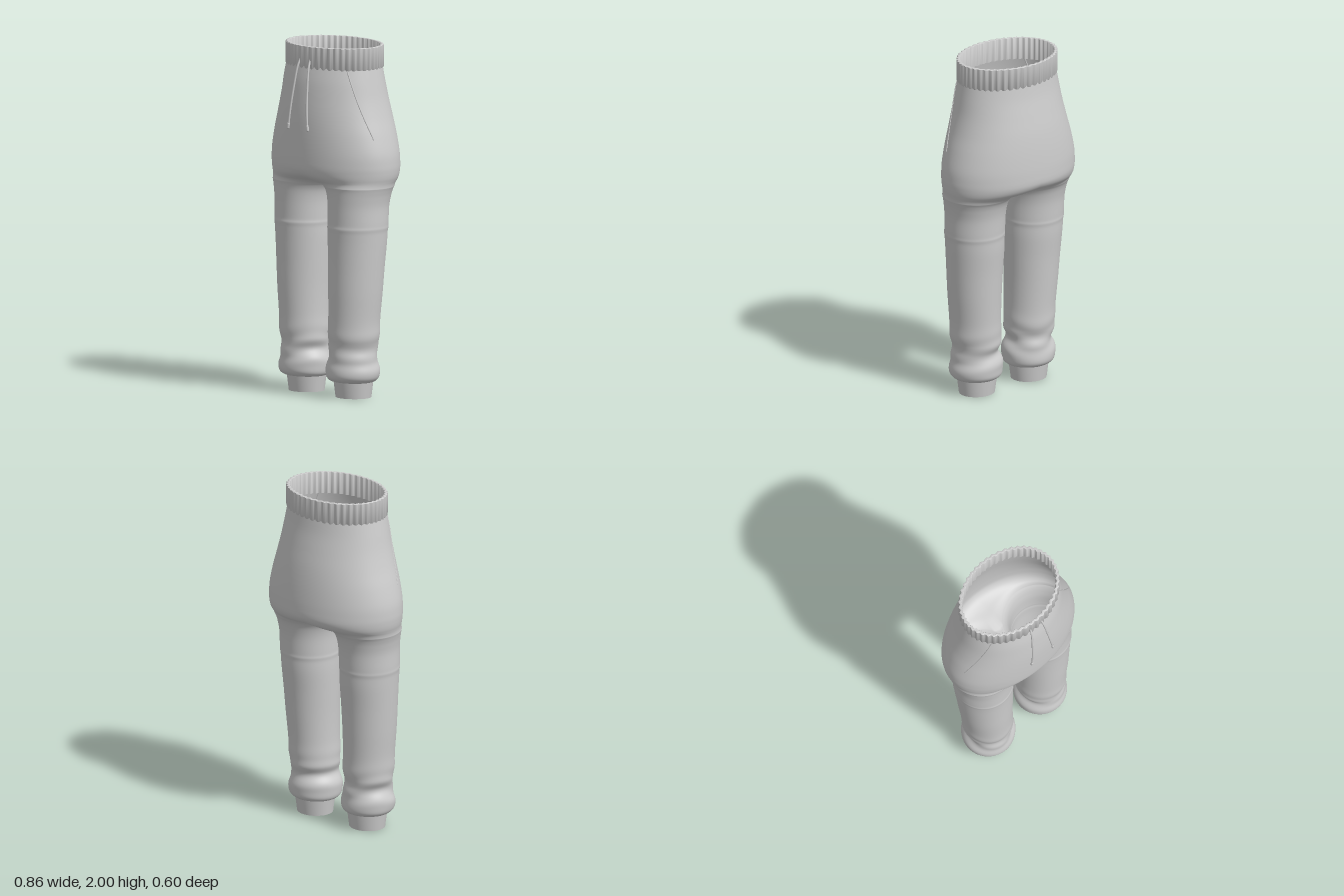
import * as THREE from 'three';
import { mergeVertices, mergeGeometries, toCreasedNormals } from 'three/addons/utils/BufferGeometryUtils.js';

const fabric = new THREE.MeshStandardMaterial({ color: 0xcccccc, side: THREE.DoubleSide });
fabric.name = 'greyFabric';

// hips, top down: y, half width, front z, back z, blend towards the leg section
const HIPS = [
  [1.885, 0.305, 0.235, -0.228, 0], [1.8, 0.322, 0.254, -0.24, 0], [1.7, 0.342, 0.267, -0.26, 0],
  [1.6, 0.368, 0.276, -0.279, 0], [1.5, 0.398, 0.28, -0.292, 0], [1.4, 0.422, 0.281, -0.3, 0],
  [1.33, 0.428, 0.28, -0.302, 0], [1.29, 0.427, 0.278, -0.302, 0.03], [1.26, 0.424, 0.276, -0.3, 0.14],
  [1.24, 0.42, 0.272, -0.298, 0.36], [1.225, 0.417, 0.265, -0.29, 0.66], [1.205, 0.412, 0.26, -0.28, 1],
];
// leg, top down: y, inner x, outer x, front z, back z
const LEG = [
  [1.205, 0, 0.412, 0.21, -0.185], [1.185, 0.018, 0.406, 0.205, -0.172], [1.15, 0.034, 0.398, 0.202, -0.16],
  [1.09, 0.043, 0.39, 0.2, -0.149], [1.0, 0.045, 0.389, 0.2, -0.143], [0.96, 0.046, 0.386, 0.201, -0.14],
  [0.88, 0.046, 0.381, 0.198, -0.136], [0.75, 0.05, 0.372, 0.196, -0.124], [0.6, 0.055, 0.361, 0.195, -0.114],
  [0.45, 0.056, 0.347, 0.192, -0.105], [0.36, 0.052, 0.344, 0.192, -0.104], [0.31, 0.055, 0.338, 0.189, -0.1],
  [0.26, 0.066, 0.324, 0.18, -0.086], [0.21, 0.046, 0.337, 0.192, -0.1], [0.16, 0.04, 0.347, 0.197, -0.104],
  [0.12, 0.042, 0.343, 0.195, -0.102], [0.098, 0.055, 0.327, 0.175, -0.085], [0.088, 0.08, 0.304, 0.142, -0.06],
];
const A = THREE.MathUtils.degToRad(65); // how far the outer panel wraps past the leg's front and back
const N = 64, M = 20, HIP_ROWS = 66, LEG_ROWS = 119;

// smooth sample of a table, u from 0 to 1
function sample(table, u) {
  const n = table.length - 1, f = u * n, i = Math.min(n - 1, Math.floor(f)), t = f - i;
  const at = k => table[Math.max(0, Math.min(n, k))];
  return table[0].map((_, c) => {
    const [p, q, r, s] = [at(i - 1)[c], at(i)[c], at(i + 1)[c], at(i + 2)[c]];
    return q + 0.5 * t * (r - p + t * (2 * p - 5 * q + 4 * r - s + t * (3 * (q - r) + s - p)));
  });
}

// grid of quads from a point function of row and column
function grid(rows, cols, point, flip) {
  const pos = [], index = [];
  for (let r = 0; r <= rows; r++) for (let c = 0; c <= cols; c++) {
    pos.push(...point(r, c));
    if (r === rows || c === cols) continue;
    const a = r * (cols + 1) + c, b = a + cols + 1;
    index.push(...(flip ? [a, a + 1, b, a + 1, b + 1, b] : [a, b, a + 1, a + 1, b, b + 1]));
  }
  const g = new THREE.BufferGeometry();
  g.setAttribute('position', new THREE.Float32BufferAttribute(pos, 3));
  g.setIndex(index);
  return g;
}

function hipPoint([y, w, zf, zb], t) {
  const c = Math.cos(t);
  return [w * Math.sin(t), y, c > 0 ? zf * c : -zb * c];
}

function legPoint(u, th, side) {
  const [y, xi, xo, zf, zb] = sample(LEG, u);
  // slanted folds gathered above the cuff, and a faint knee seam
  const near = Math.exp(-(((y - 0.25) / 0.085) ** 2));
  const slant = side > 0 ? Math.sin(th + 0.6) : Math.cos(th * 2 - 0.8);
  const d = 1 + 0.045 * near * Math.sin(y * 52 + 1.5 * slant) + 0.012 * Math.exp(-(((y - 0.97) / 0.012) ** 2));
  return [
    (xi + xo) / 2 + (xo - xi) / 2 * Math.sin(th) * d, y,
    (zf + zb) / 2 + (zf - zb) / 2 * Math.cos(th) * d,
  ];
}

// one half of the trousers: outer panel from waist to ankle, inner panel from crotch to ankle
function halfPants(side) {
  const outer = (r, c) => {
    const s = c / N, th = -A + (Math.PI + 2 * A) * s;
    const leg = legPoint(Math.max(0, r - HIP_ROWS) / LEG_ROWS, th, side);
    let p = leg;
    if (r < HIP_ROWS) {
      const row = sample(HIPS, r / HIP_ROWS), k = THREE.MathUtils.clamp(row[4], 0, 1);
      p = hipPoint(row, Math.PI * s).map((v, i) => (i === 1 ? v : v + (leg[i] - v) * k));
    }
    if (r <= HIP_ROWS && (c === 0 || c === N)) p[0] = 0;
    return [p[0] * side, p[1], p[2]];
  };
  const inner = (r, c) => {
    const p = legPoint(r / LEG_ROWS, Math.PI + A + (Math.PI - 2 * A) * c / M, side);
    return [r === 0 ? 0 : p[0] * side, p[1], p[2]];
  };
  return [
    grid(HIP_ROWS + LEG_ROWS, N, outer, side < 0),
    grid(LEG_ROWS, M, inner, side < 0),
  ];
}

// closed ribbed band around the waist
function waistbandGeometry() {
  const profile = [[0, 1.872], [0.004, 1.878], [0.004, 1.998], [0, 2], [-0.01, 2], [-0.012, 1.998], [-0.012, 1.872], [0, 1.872]];
  const cols = 384, ribs = 48;
  const g = grid(profile.length - 1, cols, (r, c) => {
    const t = (c % cols) / cols * Math.PI * 2;
    const off = profile[profile.length - 1 - r][0] + 0.004 * Math.sin(ribs * t);
    return [(0.308 + off) * Math.sin(t), profile[profile.length - 1 - r][1], 0.003 + (0.231 + off) * Math.cos(t)];
  }, true);
  return toCreasedNormals(g, 0.8);
}

export function createModel() {
  const group = new THREE.Group();
  const add = (name, geometry) => {
    const mesh = new THREE.Mesh(geometry, fabric);
    mesh.name = name;
    group.add(mesh);
    return mesh;
  };
  const tube = (pts, radius, seg) =>
    new THREE.TubeGeometry(new THREE.CatmullRomCurve3(pts.map(p => new THREE.Vector3(...p))), seg, radius, 8);

  const body = mergeVertices(mergeGeometries([...halfPants(1), ...halfPants(-1)]), 1e-5);
  body.computeVertexNormals();
  add('trousers', body);
  add('waistband', waistbandGeometry());

  const cuffProfile = [[0.105, 0], [0.118, 0.1], [0.106, 0.1], [0.092, 0], [0.105, 0]].map(p => new THREE.Vector2(...p));
  for (const side of [1, -1]) {
    const label = side > 0 ? 'left' : 'right';

    const cuff = add(label + 'AnkleCuff', toCreasedNormals(new THREE.LatheGeometry(cuffProfile, 48), 0.6));
    cuff.position.set(0.191 * side, 0, 0.04);
    cuff.scale.z = 0.93;

    // drawstring with a thicker rounded tip
    const cord = [[0.04, 1.925, 0.232], [0.045, 1.88, 0.25], [0.054, 1.78, 0.268], [0.067, 1.64, 0.286], [0.078, 1.535, 0.292]];
    add(label + 'Drawstring', tube(cord.map(([x, y, z]) => [x * side, y, z]), 0.006, 32));
    const tip = add(label + 'DrawstringTip', new THREE.CapsuleGeometry(0.008, 0.022, 4, 10));
    tip.position.set(0.078 * side, 1.543, 0.291);
    tip.rotation.z = 0.1 * side;

    // slanted pocket seam lying on the hip surface
    const seam = [];
    for (let i = 0; i <= 12; i++) {
      const u = (0.2 + 3.95 * i / 12) / (HIPS.length - 1);
      const [x, y, z] = hipPoint(sample(HIPS, u), 0.93 + 0.39 * i / 12);
      seam.push([x * side, y, z]);
    }
    add(label + 'PocketSeam', tube(seam, 0.004, 40));
  }
  return group;
}
